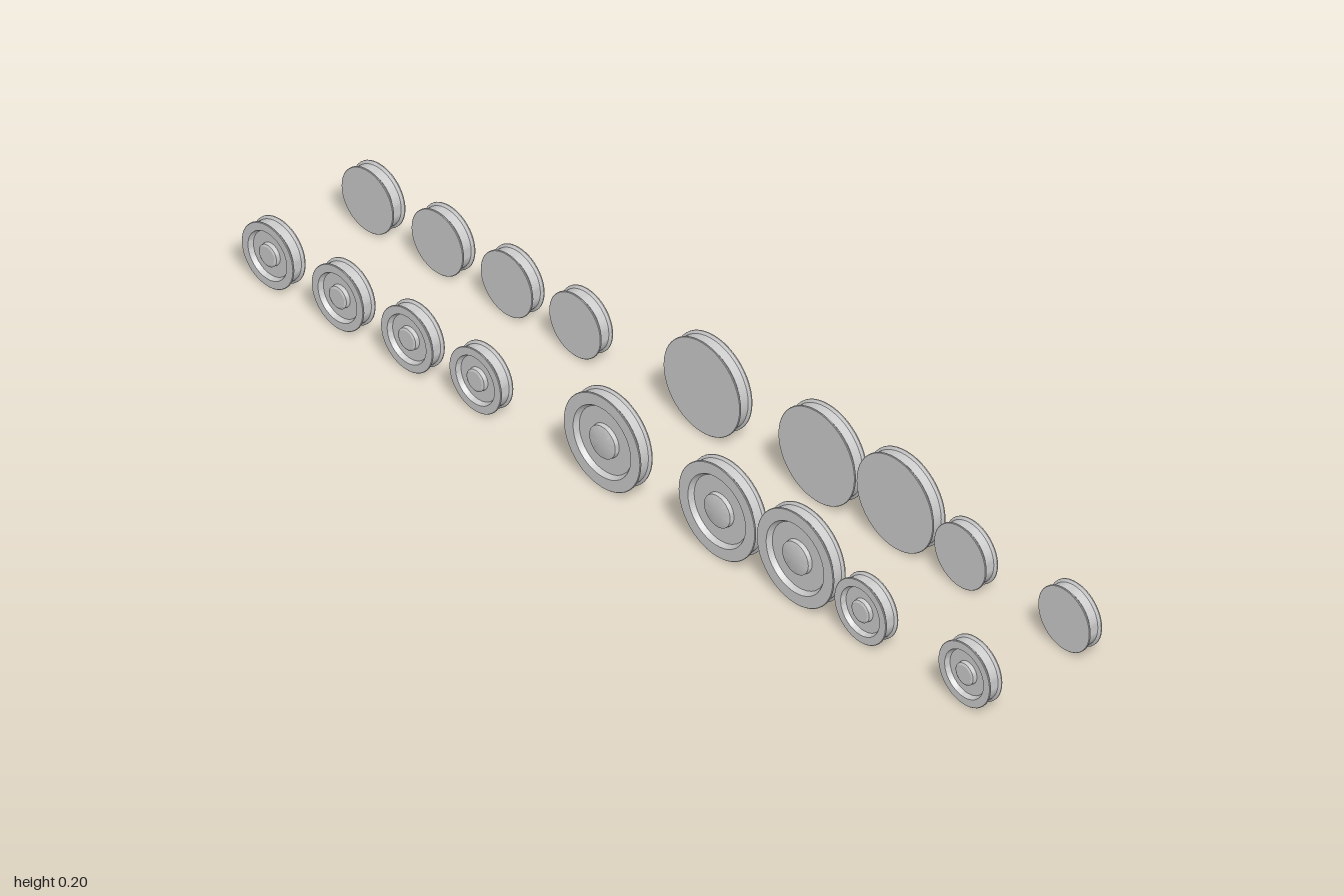
import * as THREE from 'three';
import { toCreasedNormals } from 'three/addons/utils/BufferGeometryUtils.js';

const material = new THREE.MeshStandardMaterial({ color: 0xcccccc });

// Wheel as one turned solid: flat inner face, double-flanged tread, dished outer face with a hub.
// The axis is x, with the outer face towards +x.
function wheelGeometry(r) {
  const lip = r - 0.005; // tread radius
  const profile = [
    [0, -0.0165], // flat inner face
    [r - 0.001, -0.0165], [r, -0.0155], [r, -0.0135], // inner flange
    [lip, -0.0095], [lip, 0.0095], // tread
    [r, 0.0135], [r, 0.0155], [r - 0.001, 0.0165], // outer flange
    [r * 0.75, 0.0165], [r * 0.69, 0.0065], // rim face and dish wall
    [r * 0.35, 0.0065], [r * 0.34, 0.0155], [r * 0.28, 0.0175], // hub
    [0, 0.0175],
  ].map(([radius, along]) => new THREE.Vector2(radius, along));
  const geometry = new THREE.LatheGeometry(profile, 48);
  geometry.rotateZ(-Math.PI / 2);
  return toCreasedNormals(geometry, 0.45);
}

// Axle positions along z
const sets = [
  { name: 'smallWheel', r: 0.069, y: 0.071, z: [0.931, 0.653, -0.376, -0.559, -0.744, -0.931] },
  { name: 'largeWheel', r: 0.1025, y: 0.1035, z: [0.479, 0.27, -0.037] },
];

export function createModel() {
  const group = new THREE.Group();
  group.name = 'wheels';
  for (const { name, r, y, z } of sets) {
    const geometry = wheelGeometry(r);
    z.forEach((pos, i) => {
      for (const side of [1, -1]) {
        const wheel = new THREE.Mesh(geometry, material);
        wheel.name = `${name}${side > 0 ? 'Left' : 'Right'}${i + 1}`;
        wheel.position.set(side * 0.128, y, pos);
        // Turn the right-hand wheels so the hub faces outwards
        if (side < 0) wheel.rotation.y = Math.PI;
        group.add(wheel);
      }
    });
  }
  return group;
}
